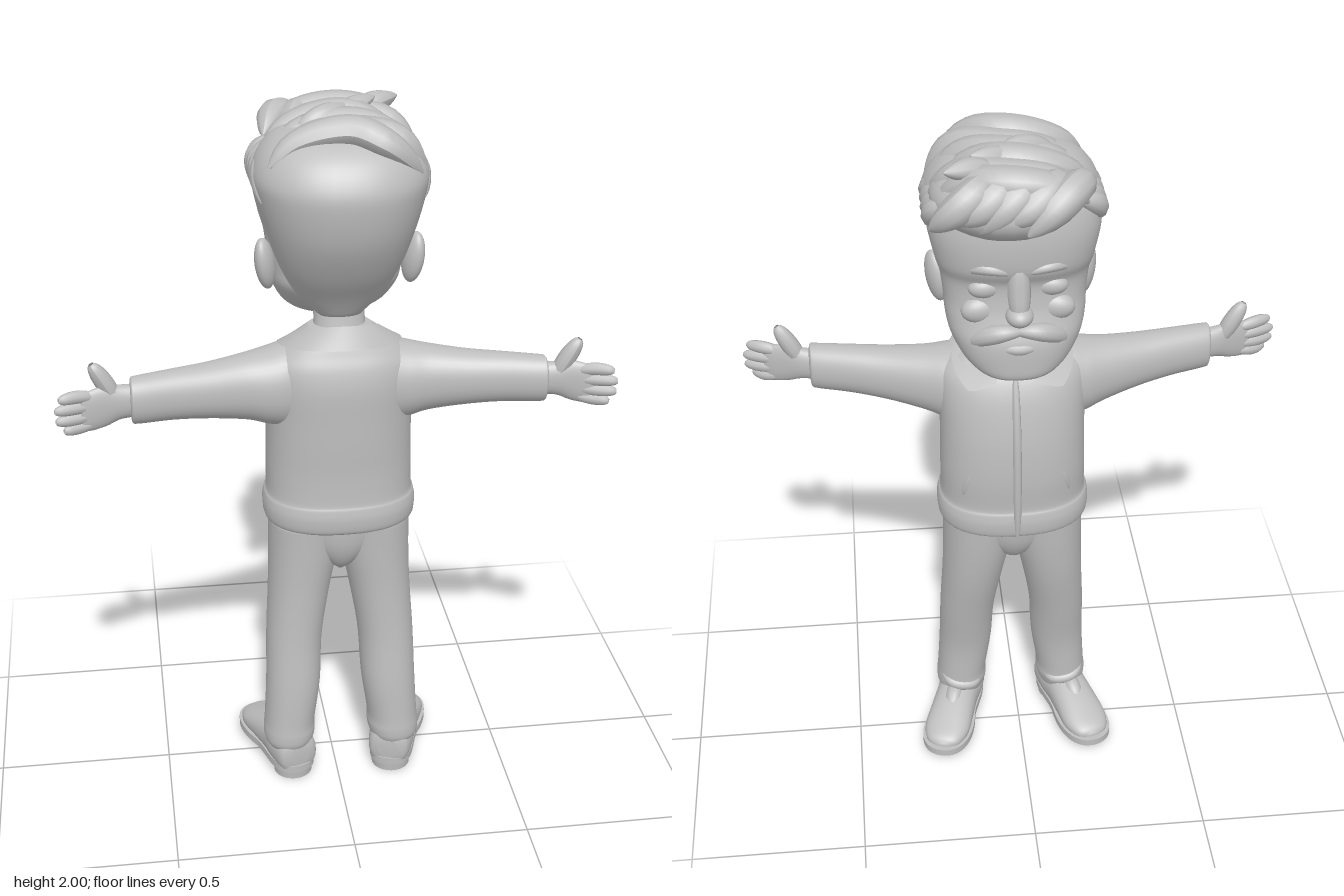
import * as THREE from 'three';

const V = (x, y, z) => new THREE.Vector3(x, y, z);
const clay = new THREE.MeshStandardMaterial({ color: 0xbebebe, side: THREE.DoubleSide });
clay.name = 'clay grey';
const CX = 0.017; // body axis

// Smooth closed skin through rows [station, cu, cv, ru, rv]; place(s, u, v) gives the point.
function loft(rows, place = (s, u, v) => [u, s, v], p = 2.2, n = 40) {
  const centre = new THREE.CatmullRomCurve3(rows.map(r => V(r[0], r[1], r[2])), false, 'catmullrom');
  const radius = new THREE.CatmullRomCurve3(rows.map(r => V(r[3], r[4], 0)), false, 'catmullrom');
  const m = (rows.length - 1) * 5, pos = [], idx = [];
  const pow = a => Math.sign(a) * Math.abs(a) ** (2 / p);
  for (let i = 0; i <= m; i++) {
    const c = centre.getPoint(i / m), r = radius.getPoint(i / m);
    for (let j = 0; j < n; j++) {
      const a = (j / n) * Math.PI * 2;
      pos.push(...place(c.x, c.y + r.x * pow(Math.cos(a)), c.z + r.y * pow(Math.sin(a))));
    }
  }
  for (let i = 0; i < m; i++) for (let j = 0; j < n; j++) {
    const a = i * n + j, b = i * n + (j + 1) % n;
    idx.push(a, a + n, b, b, a + n, b + n);
  }
  for (const k of [0, m]) { // end caps
    const c = centre.getPoint(k / m), id = pos.length / 3;
    pos.push(...place(c.x, c.y, c.z));
    for (let j = 0; j < n; j++) {
      const a = k * n + j, b = k * n + (j + 1) % n;
      idx.push(...(k ? [a, id, b] : [a, b, id]));
    }
  }
  // make the faces point outward
  let vol = 0;
  const at = i => V(pos[i * 3], pos[i * 3 + 1], pos[i * 3 + 2]);
  for (let i = 0; i < idx.length; i += 3) vol += at(idx[i]).dot(at(idx[i + 1]).cross(at(idx[i + 2])));
  if (vol < 0) idx.reverse();
  const g = new THREE.BufferGeometry();
  g.setAttribute('position', new THREE.Float32BufferAttribute(pos, 3));
  g.setIndex(idx);
  g.computeVertexNormals();
  return g;
}

// Tube that closes at both ends; small blunt = rounded ends, large = pointed ends.
function strand(points, r, blunt = 0.5, flat = 1) {
  const curve = new THREE.CatmullRomCurve3(points.map(q => V(...q))), m = 20, n = 10;
  const g = new THREE.TubeGeometry(curve, m, r, n), pos = g.attributes.position;
  for (let i = 0; i <= m; i++) {
    const c = curve.getPointAt(i / m), f = Math.max(0.02, Math.sin(Math.PI * i / m)) ** blunt;
    for (let j = 0; j <= n; j++) {
      const k = i * (n + 1) + j, q = V().fromBufferAttribute(pos, k).sub(c).multiplyScalar(f);
      pos.setXYZ(k, c.x + q.x, c.y + q.y * flat, c.z + q.z);
    }
  }
  g.computeVertexNormals();
  return g;
}

export function createModel() {
  const model = new THREE.Group();
  const add = (name, geo, parent = model) => {
    const mesh = new THREE.Mesh(geo, clay);
    mesh.name = name;
    parent.add(mesh);
    return mesh;
  };
  const ball = (name, at, size, rot = [0, 0, 0]) => {
    const m = add(name, new THREE.SphereGeometry(1, 28, 18));
    m.position.set(...at); m.scale.set(...size); m.rotation.set(...rot);
  };

  // Head: egg-shaped skull behind, face and bearded jaw in front (-z)
  add('skull', loft([
    [1.44, CX, 0.045, 0.06, 0.04], [1.5, CX, 0.04, 0.118, 0.085], [1.58, CX, 0.045, 0.163, 0.14],
    [1.68, CX, 0.045, 0.198, 0.193], [1.78, CX, 0.04, 0.226, 0.22], [1.84, CX, 0.04, 0.232, 0.213],
    [1.9, CX, 0.03, 0.205, 0.185], [1.94, CX, 0.02, 0.15, 0.13], [1.955, CX, 0.02, 0.04, 0.04]]));
  add('face', loft([
    [1.385, CX, -0.145, 0.035, 0.035], [1.4, CX, -0.135, 0.095, 0.075], [1.44, CX, -0.105, 0.143, 0.11],
    [1.5, CX, -0.078, 0.175, 0.134], [1.55, CX, -0.066, 0.185, 0.128], [1.6, CX, -0.055, 0.188, 0.126],
    [1.66, CX, -0.05, 0.196, 0.128], [1.71, CX, -0.05, 0.21, 0.148], [1.8, CX, -0.04, 0.225, 0.16],
    [1.88, CX, -0.03, 0.2, 0.15], [1.93, CX, -0.03, 0.12, 0.1]], undefined, 2.4));
  ball('nose', [CX, 1.585, -0.195], [0.036, 0.028, 0.042]);
  add('noseBridge', strand([[CX, 1.73, -0.175], [CX, 1.65, -0.183], [CX, 1.575, -0.205]], 0.03, 0.3));
  add('lowerLip', strand([[-0.045, 1.492, -0.193], [CX, 1.49, -0.206], [0.08, 1.492, -0.193]], 0.015, 0.5));
  for (const s of [-1, 1]) {
    const x = d => CX + s * d;
    ball('ear', [x(0.2), 1.585, 0.038], [0.026, 0.073, 0.04], [0.15, s * 0.35, -s * 0.15]);
    ball('eyelid', [x(0.08), 1.65, -0.15], [0.05, 0.03, 0.03], [0, s * 0.2, 0]);
    ball('cheek', [x(0.09), 1.585, -0.145], [0.06, 0.04, 0.035], [0, s * 0.3, 0]);
    add('brow', strand([[x(0.015), 1.702, -0.188], [x(0.08), 1.718, -0.18], [x(0.16), 1.7, -0.13]], 0.022, 0.6, 0.8));
    add('moustache', strand([[x(-0.02), 1.542, -0.2], [x(0.05), 1.537, -0.2], [x(0.105), 1.51, -0.172],
      [x(0.14), 1.475, -0.135]], 0.026, 0.6));
  }

  // Hair: a mass on top, overlapping locks swept towards +x and a forward quiff
  ball('hairMass', [0.035, 1.87, -0.06], [0.2, 0.1, 0.19]);
  for (let i = 0; i < 6; i++) {
    const z = -0.16 + i * 0.058, w = Math.sin(i * 2.1) * 0.02;
    add('topLock', strand([[-0.16 + w, 1.875, z + 0.01], [-0.09 + w, 1.928, z - 0.015], [0.04, 1.948 - w / 2, z - 0.01],
      [0.14 + w, 1.93, z + 0.03], [0.225 + w / 2, 1.85, z * 0.8 + 0.045]], 0.05, 0.55, 0.85));
  }
  for (let i = 0; i < 5; i++) {
    const t = i / 4, x = -0.1 + t * 0.24;
    add('quiffLock', strand([[x - 0.07, 1.9, -0.08], [x - 0.03, 1.93, -0.17],
      [x + 0.03, 1.895, -0.222 + t * 0.02], [x + 0.1, 1.835 + (i % 2) * 0.025, -0.245 + t * 0.06]], 0.046, 0.6));
  }
  for (const [x, z, y] of [[0.0, 0.0, 1.985], [0.08, -0.06, 1.99], [0.15, -0.12, 1.975]])
    add('hairTip', strand([[x - 0.11, 1.925, z + 0.02], [x - 0.03, 1.962, z], [x + 0.05, y, z - 0.04]], 0.032, 0.7));
  for (const s of [-1, 1]) for (let i = 0; i < 4; i++)
    add('sideLock', strand([[CX + s * 0.16, 1.88, -0.15 + i * 0.035], [CX + s * 0.202, 1.845, -0.1 + i * 0.045],
      [CX + s * 0.212, 1.775, -0.03 + i * 0.05]], 0.032, 0.6));

  // Neck, jacket and hem
  add('neck', loft([[1.34, CX, 0.045, 0.08, 0.06], [1.42, CX, 0.035, 0.07, 0.05], [1.5, CX, 0.02, 0.075, 0.05]]));
  add('jacket', loft([
    [0.822, CX, 0.023, 0.192, 0.15], [0.834, CX, 0.022, 0.212, 0.164], [0.87, CX, 0.022, 0.217, 0.168],
    [0.9, CX, 0.022, 0.213, 0.164], [0.92, CX, 0.022, 0.206, 0.159], [1.0, CX, 0.018, 0.205, 0.16],
    [1.08, CX, 0.02, 0.203, 0.16], [1.16, CX, 0.025, 0.203, 0.156], [1.25, CX, 0.035, 0.208, 0.146],
    [1.31, CX, 0.042, 0.203, 0.128], [1.35, CX, 0.048, 0.168, 0.105], [1.38, CX, 0.052, 0.125, 0.088],
    [1.41, CX, 0.055, 0.085, 0.068]], undefined, 2.4));
  add('zip', strand([[CX, 0.83, -0.142], [CX, 0.9, -0.143], [CX, 1.02, -0.142], [CX, 1.15, -0.133],
    [CX, 1.25, -0.112], [CX, 1.33, -0.08]], 0.012, 0.2));
  for (const s of [-1, 1])
    add('pocketEdge', strand([[CX + s * 0.12, 1.05, -0.112], [CX + s * 0.15, 0.95, -0.094]], 0.012, 0.4));

  // Folded collar, open at the front with pointed tips
  const cp = [], ci = [], N = 60;
  for (let i = 0; i <= N; i++) {
    const a = (i / N * 2 - 1) * 2.85, k = (1 - Math.cos(a)) / 2, tip = Math.max(0, 1 - Math.abs(Math.abs(a) - 2.5) / 0.7);
    const sn = Math.sin(a), cs = Math.cos(a);
    cp.push(CX + 0.085 * sn, 1.4 - 0.07 * k, 0.055 + 0.07 * cs,
      CX + 0.105 * sn, 1.434 - 0.065 * k, 0.05 + 0.09 * cs,
      CX + (0.17 + tip * 0.04) * sn, 1.375 - 0.03 * k - tip * 0.045, 0.045 + (0.125 + tip * 0.065) * cs);
    if (i < N) for (const j of [0, 1]) {
      const p = i * 3 + j;
      ci.push(p, p + 1, p + 3, p + 1, p + 4, p + 3);
    }
  }
  const collar = new THREE.BufferGeometry();
  collar.setAttribute('position', new THREE.Float32BufferAttribute(cp, 3));
  collar.setIndex(ci);
  collar.computeVertexNormals();
  add('collar', collar);

  add('hips', loft([[0.665, CX, 0.033, 0.015, 0.05], [0.7, CX, 0.031, 0.06, 0.09], [0.76, CX, 0.028, 0.125, 0.117],
    [0.85, CX, 0.025, 0.19, 0.128]]));

  for (const s of [-1, 1]) {
    const across = (d, u, v) => [CX * 0.4 + s * d, u, v];
    // Sleeve, blended into the shoulder and swept slightly towards +z
    add('sleeve', loft([[0.05, 1.25, 0.045, 0.1, 0.08], [0.13, 1.245, 0.05, 0.118, 0.1],
      [0.19, 1.243, 0.058, 0.108, 0.095], [0.25, 1.248, 0.07, 0.093, 0.08], [0.35, 1.253, 0.096, 0.078, 0.066],
      [0.45, 1.257, 0.12, 0.07, 0.056], [0.545, 1.257, 0.143, 0.066, 0.05], [0.562, 1.258, 0.147, 0.062, 0.045],
      [0.566, 1.258, 0.147, 0.045, 0.03]], across));
    add('hand', loft([[0.53, 1.258, 0.146, 0.045, 0.03], [0.59, 1.26, 0.158, 0.048, 0.027],
      [0.63, 1.257, 0.17, 0.058, 0.022], [0.67, 1.25, 0.183, 0.057, 0.017], [0.695, 1.248, 0.192, 0.05, 0.011]], across));
    [[1.295, 0.745], [1.264, 0.757], [1.234, 0.755], [1.207, 0.735]].forEach(([y, x]) =>
      add('finger', strand([[s * 0.65, 1.25 + (y - 1.25) * 0.85, 0.177], [s * 0.7, y, 0.193], [s * x, y, 0.214]], 0.0175, 0.25)));
    add('thumb', strand([[s * 0.59, 1.255, 0.16], [s * 0.625, 1.32, 0.163], [s * 0.657, 1.375, 0.168]], 0.025, 0.3));

    // Trouser leg with a fold above the cuff
    const x = d => CX + s * d;
    add('trouserLeg', loft([[0.085, x(0.158), 0.09, 0.055, 0.065], [0.11, x(0.158), 0.09, 0.071, 0.083],
      [0.14, x(0.156), 0.088, 0.076, 0.088], [0.18, x(0.154), 0.086, 0.074, 0.087], [0.3, x(0.142), 0.079, 0.079, 0.088],
      [0.45, x(0.135), 0.056, 0.081, 0.096], [0.6, x(0.118), 0.036, 0.089, 0.11], [0.72, x(0.104), 0.028, 0.099, 0.12],
      [0.84, x(0.098), 0.025, 0.104, 0.127]]));
    add('cuffFold', strand([[x(0.095), 0.16, 0.08], [x(0.125), 0.14, 0.015], [x(0.19), 0.15, 0.015], [x(0.22), 0.18, 0.08]], 0.018, 0.5));

    // Shoe with toes turned out
    const shoe = new THREE.Group();
    shoe.name = 'shoe';
    shoe.position.set(x(0.155), 0, 0.095);
    shoe.rotation.y = -s * 0.31;
    model.add(shoe);
    add('shoeUpper', loft([[0.075, 0, 0.075, 0.03, 0.03], [0.06, 0, 0.075, 0.058, 0.062], [0, 0, 0.078, 0.067, 0.066],
      [-0.06, 0, 0.075, 0.064, 0.064], [-0.13, 0, 0.067, 0.067, 0.052], [-0.2, 0, 0.056, 0.068, 0.037],
      [-0.25, 0, 0.05, 0.048, 0.022], [-0.268, 0, 0.045, 0.015, 0.008]], (z, u, v) => [u, v, z]), shoe);
    const outline = new THREE.Shape(); // shape y runs to the toe
    outline.moveTo(0, -0.08);
    outline.bezierCurveTo(0.09, -0.08, 0.055, 0.03, 0.066, 0.1);
    outline.bezierCurveTo(0.09, 0.2, 0.07, 0.285, 0, 0.285);
    outline.bezierCurveTo(-0.07, 0.285, -0.09, 0.2, -0.066, 0.1);
    outline.bezierCurveTo(-0.055, 0.03, -0.09, -0.08, 0, -0.08);
    const sole = new THREE.ExtrudeGeometry(outline, { depth: 0.022, bevelEnabled: false, curveSegments: 16 });
    sole.rotateX(-Math.PI / 2);
    sole.translate(0, 0.024, 0);
    add('sole', sole, shoe);
    const heel = add('heel', new THREE.CylinderGeometry(0.058, 0.056, 0.03, 28), shoe);
    heel.position.set(0, 0.015, 0.02);
    add('lacing', strand([[0, 0.13, -0.05], [0, 0.115, -0.1], [0, 0.088, -0.15]], 0.026, 0.4), shoe);
  }
  return model;
}
